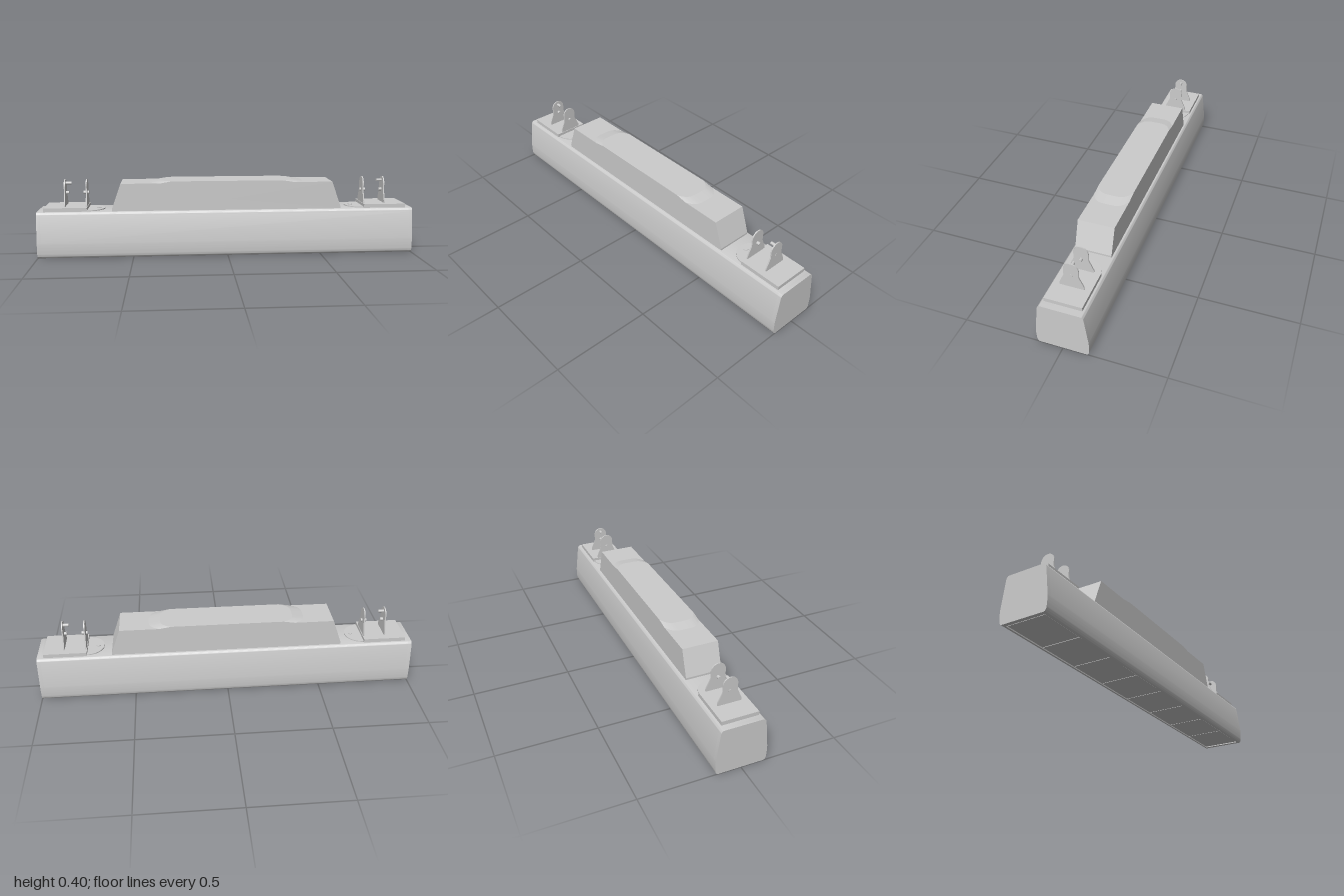
import * as THREE from 'three';
import { toCreasedNormals } from 'three/addons/utils/BufferGeometryUtils.js';

const grey = new THREE.MeshStandardMaterial({ color: 0xcccccc });

function add(parent, name, geometry, x = 0, y = 0, z = 0) {
  const mesh = new THREE.Mesh(geometry, grey);
  mesh.name = name;
  mesh.position.set(x, y, z);
  parent.add(mesh);
  return mesh;
}

// Extrudes a z-y outline along x, from x0 to x1
function extrudeX(shape, x0, x1) {
  const geo = new THREE.ExtrudeGeometry(shape, { depth: x1 - x0, bevelEnabled: false, curveSegments: 10 });
  geo.rotateY(Math.PI / 2);
  geo.translate(x0, 0, 0);
  return toCreasedNormals(geo, 0.5);
}

// Hull cross-section, optionally with a shallow pocket underneath
function hullShape(pocket) {
  const s = new THREE.Shape();
  s.moveTo(-0.113, 0);
  if (pocket) {
    s.lineTo(-0.107, 0);
    s.lineTo(-0.107, 0.008);
    s.lineTo(0.107, 0.008);
    s.lineTo(0.107, 0);
  }
  s.lineTo(0.113, 0);
  s.quadraticCurveTo(0.125, 0.001, 0.128, 0.018);
  s.quadraticCurveTo(0.131, 0.05, 0.129, 0.082);
  s.lineTo(0.112, 0.222);
  s.quadraticCurveTo(0.109, 0.241, 0.097, 0.242);
  s.lineTo(-0.097, 0.242);
  s.quadraticCurveTo(-0.109, 0.241, -0.112, 0.222);
  s.lineTo(-0.129, 0.082);
  s.quadraticCurveTo(-0.131, 0.05, -0.128, 0.018);
  s.quadraticCurveTo(-0.125, 0.001, -0.113, 0);
  return s;
}

// Lug outline: wide foot, tapered shoulders, round head
function lugShape() {
  const s = new THREE.Shape();
  s.moveTo(-0.06, 0.26);
  s.lineTo(0.06, 0.26);
  s.lineTo(0.06, 0.276);
  s.lineTo(0.037, 0.328);
  s.lineTo(0.037, 0.365);
  s.absarc(0, 0.365, 0.037, 0, Math.PI, false);
  s.lineTo(-0.037, 0.328);
  s.lineTo(-0.06, 0.276);
  return s;
}

// Housing: x-y profiles lofted across z, the raised top has rounded ends
function housingGeometry() {
  const half = 0.093, steps = 24, pos = [], index = [];
  const profile = (z) => {
    const e = 0.41 - 0.055 * Math.pow(Math.abs(z) / half, 4);
    const right = [[0.61, 0.242], [0.61, 0.252], [0.562, 0.387], [e, 0.387], [e - 0.06, 0.397]];
    return [...right, ...right.map(([x, y]) => [-x, y]).reverse()];
  };
  const n = profile(0).length;
  for (let i = 0; i <= steps; i++) {
    const z = -half + (2 * half * i) / steps;
    for (const [x, y] of profile(z)) pos.push(x, y, z);
  }
  for (let i = 0; i < steps; i++) {
    for (let j = 0; j < n; j++) {
      const a = i * n + j, b = i * n + (j + 1) % n;
      index.push(a, b, b + n, a, b + n, a + n);
    }
  }
  // End walls as fans around a middle point
  const back = pos.length / 3, front = back + 1, last = steps * n;
  pos.push(0, 0.3, -half, 0, 0.3, half);
  for (let j = 0; j < n; j++) {
    const k = (j + 1) % n;
    index.push(back, k, j, front, last + j, last + k);
  }
  const geo = new THREE.BufferGeometry();
  geo.setAttribute('position', new THREE.Float32BufferAttribute(pos, 3));
  geo.setIndex(index);
  return toCreasedNormals(geo, 0.12);
}

// Pin lying along x, from x0 to x1
function addPin(parent, name, x0, x1, y, r) {
  const geo = new THREE.CylinderGeometry(r, r, x1 - x0, 16);
  geo.rotateZ(Math.PI / 2);
  add(parent, name, geo, (x0 + x1) / 2, y, 0);
}

// One end mount, built for the +x end
function createMount(name) {
  const mount = new THREE.Group();
  mount.name = name;
  add(mount, 'mountPlate', new THREE.BoxGeometry(0.225, 0.02, 0.186), 0.8525, 0.252);
  add(mount, 'swivelDisc', new THREE.CylinderGeometry(0.085, 0.085, 0.005, 40), 0.738, 0.2445);
  add(mount, 'discBolt', new THREE.CylinderGeometry(0.012, 0.012, 0.004, 20), 0.685, 0.2485);
  add(mount, 'innerLug', extrudeX(lugShape(), 0.743, 0.749));
  add(mount, 'outerLug', extrudeX(lugShape(), 0.857, 0.863));
  addPin(mount, 'innerPin', 0.735, 0.765, 0.33, 0.009);
  addPin(mount, 'outerPin', 0.842, 0.865, 0.33, 0.009);
  addPin(mount, 'upperPin', 0.827, 0.86, 0.381, 0.008);
  return mount;
}

export function createModel() {
  const model = new THREE.Group();
  model.name = 'housingWithMounts';

  // Hull with closed ends and a pocket below
  const hull = new THREE.Group();
  hull.name = 'hull';
  add(hull, 'hullMiddle', extrudeX(hullShape(true), -0.98, 0.98));
  add(hull, 'hullEndLeft', extrudeX(hullShape(false), 0.98, 1));
  add(hull, 'hullEndRight', extrudeX(hullShape(false), -1, -0.98));
  model.add(hull);

  // Row of bottom panels with narrow seams
  const panels = 8, pitch = 1.95 / panels;
  for (let i = 0; i < panels; i++) {
    const x = (i - (panels - 1) / 2) * pitch;
    add(model, 'bottomPanel', new THREE.BoxGeometry(pitch - 0.004, 0.006, 0.206), x, 0.006);
  }

  add(model, 'topHousing', housingGeometry());

  // Mirrored mounts at both ends
  const left = createMount('leftMount');
  const right = createMount('rightMount');
  right.scale.x = -1;
  model.add(left, right);
  return model;
}
